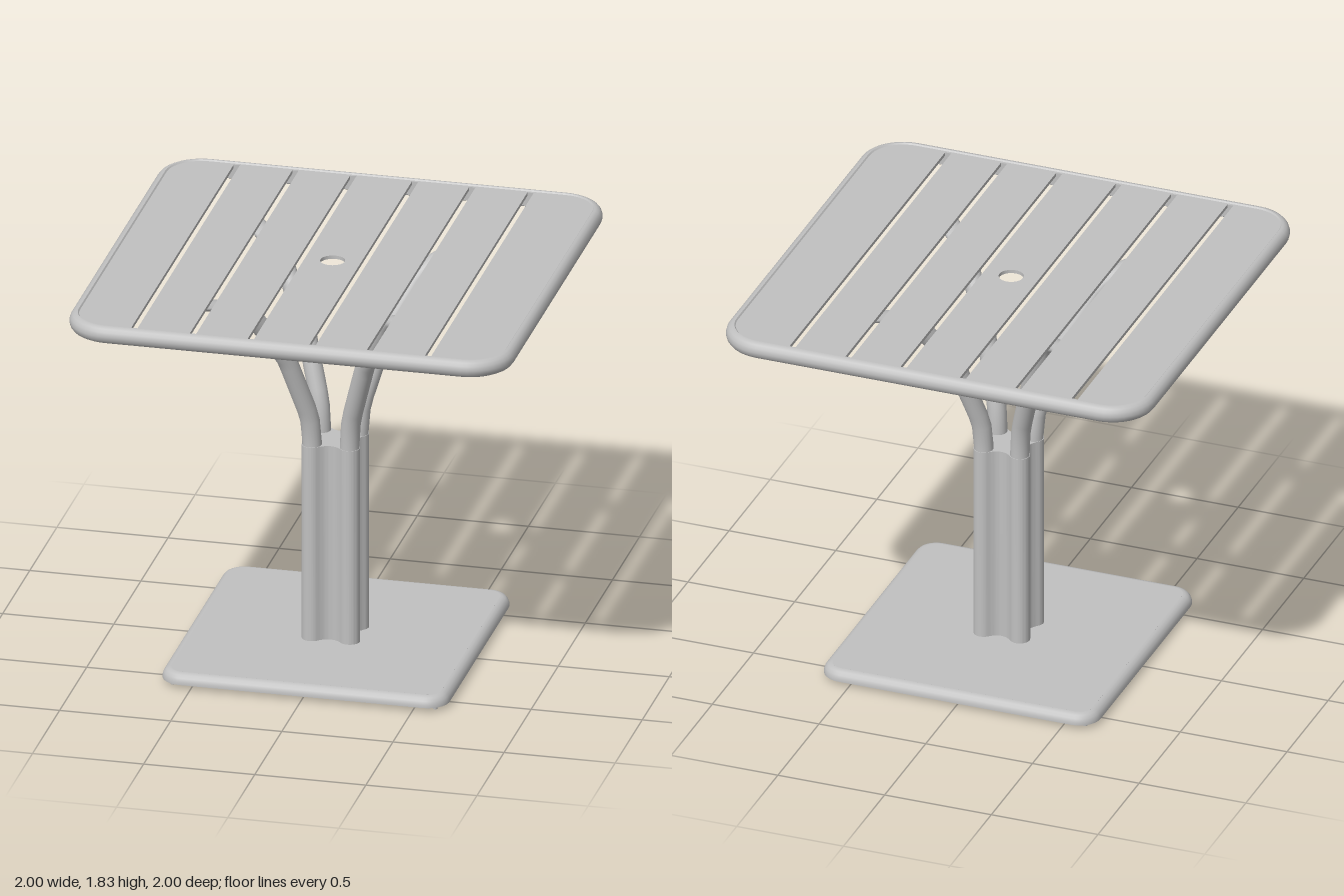
import * as THREE from 'three';
import { toCreasedNormals } from 'three/addons/utils/BufferGeometryUtils.js';

const metal = new THREE.MeshStandardMaterial({ color: 0xc0c0c0 });
metal.name = 'light grey metal';

function add(parent, name, geometry, x = 0, y = 0, z = 0) {
  const mesh = new THREE.Mesh(geometry, metal);
  mesh.name = name;
  mesh.position.set(x, y, z);
  parent.add(mesh);
  return mesh;
}

// Skin over rows of points; every row is a closed loop
function skin(rows, crease = 0.6) {
  const n = rows[0].length, pos = [], index = [];
  rows.forEach(row => row.forEach(p => pos.push(...p)));
  for (let i = 0; i < rows.length - 1; i++) {
    for (let j = 0; j < n; j++) {
      const k = (j + 1) % n;
      const a = i * n + j, b = a + n, c = (i + 1) * n + k, d = i * n + k;
      index.push(a, b, c, a, c, d);
    }
  }
  const g = new THREE.BufferGeometry();
  g.setAttribute('position', new THREE.Float32BufferAttribute(pos, 3));
  g.setIndex(index);
  return toCreasedNormals(g, crease);
}

// Outline of a rounded square, counter-clockwise
function roundedSquare(half, radius, steps = 10) {
  const pts = [], c = half - radius;
  for (let q = 0; q < 4; q++) {
    const cx = q === 0 || q === 3 ? c : -c, cy = q < 2 ? c : -c;
    for (let s = 0; s <= steps; s++) {
      const t = (q + s / steps) * Math.PI / 2;
      pts.push(new THREE.Vector2(cx + radius * Math.cos(t), cy + radius * Math.sin(t)));
    }
  }
  return pts;
}

// Edge moulding: profile of [inset, y] carried round a rounded square
function moulding(half, radius, profile) {
  return skin(profile.map(([inset, y]) =>
    roundedSquare(half - inset, radius - inset).map(p => [p.x, y, -p.y])));
}

// Horizontal slab from a shape, standing on y = 0
function slab(shape, depth) {
  const g = new THREE.ExtrudeGeometry(shape, { depth, bevelEnabled: false, curveSegments: 16 });
  g.rotateX(-Math.PI / 2);
  return toCreasedNormals(g, 0.6);
}

// Four-lobed column outline
function columnShape() {
  const c = 0.085, r = 0.045, s = new THREE.Shape();
  const h = r * Math.SQRT1_2, near = c - h, far = c + h, ctrl = far - near;
  s.moveTo(far, near);
  for (let q = 0; q < 4; q++) {
    const t = q * Math.PI / 2, turn = (x, y) => [
      x * Math.cos(t) - y * Math.sin(t), x * Math.sin(t) + y * Math.cos(t)];
    s.absarc(...turn(c, c), r, t - Math.PI / 4, t + Math.PI * 3 / 4, false);
    s.quadraticCurveTo(...turn(0, ctrl), ...turn(-near, far));
  }
  return s;
}

// Bent tube in the local x-y plane that flattens into a tab at its tip
function legGeometry() {
  // outward, height, half thickness, half width
  const path = [
    [0.12, 0.95, 0.043, 0.043], [0.12, 1.0, 0.043, 0.043], [0.13, 1.1, 0.043, 0.043],
    [0.148, 1.16, 0.043, 0.043], [0.235, 1.38, 0.043, 0.043], [0.255, 1.425, 0.043, 0.043],
    [0.415, 1.645, 0.042, 0.043], [0.445, 1.68, 0.038, 0.044], [0.49, 1.712, 0.032, 0.045],
    [0.56, 1.737, 0.024, 0.048], [0.68, 1.764, 0.02, 0.05], [0.79, 1.788, 0.016, 0.05],
    [0.82, 1.793, 0.012, 0.035],
  ];
  const rows = path.map(([u, y, a, b], i) => {
    const p = path[Math.max(i - 1, 0)], q = path[Math.min(i + 1, path.length - 1)];
    const len = Math.hypot(q[0] - p[0], q[1] - p[1]);
    const tu = (q[0] - p[0]) / len, ty = (q[1] - p[1]) / len;
    return Array.from({ length: 20 }, (_, j) => {
      const f = j / 20 * Math.PI * 2, n = a * Math.cos(f);
      return [u + n * ty, y - n * tu, b * Math.sin(f)];
    });
  });
  const tip = path[path.length - 1];
  rows.push(rows[0].map(() => [tip[0], tip[1], 0]));
  return skin(rows, 0.7);
}

export function createModel() {
  const model = new THREE.Group();
  model.name = 'patioTable';

  // Tabletop: rounded rim around a thin slotted panel
  const top = new THREE.Group();
  top.name = 'tabletop';
  model.add(top);
  add(top, 'tabletopRim', moulding(1, 0.2, [
    [0.045, 1.822], [0.038, 1.83], [0.028, 1.829], [0.015, 1.822], [0.005, 1.809], [0, 1.79],
    [0.005, 1.771], [0.015, 1.758], [0.028, 1.751], [0.038, 1.75], [0.045, 1.755], [0.045, 1.822]]));
  const panel = new THREE.Shape(roundedSquare(0.96, 0.16));
  for (const x of [-0.677, -0.413, -0.153, 0.125, 0.383, 0.645]) {
    const w = 0.014, l = 0.945;
    panel.holes.push(new THREE.Path([[-w, -l], [-w, l], [w, l], [w, -l]]
      .map(([dx, y]) => new THREE.Vector2(x + dx, y))));
  }
  panel.holes.push(new THREE.Path().absarc(-0.015, 0, 0.055, 0, Math.PI * 2, true));
  add(top, 'slottedPanel', slab(panel, 0.016), 0, 1.808, 0);

  // Pedestal column with four branching legs
  const pedestal = new THREE.Group();
  pedestal.name = 'pedestal';
  pedestal.position.z = 0.01;
  model.add(pedestal);
  add(pedestal, 'column', slab(columnShape(), 0.925), 0, 0.06, 0);
  const leg = legGeometry();

  // Base: shallow pan with a rounded edge
  const base = new THREE.Group();
  base.name = 'base';
  model.add(base);
  add(base, 'baseEdge', moulding(0.645, 0.1, [
    [0.04, 0.068], [0.03, 0.067], [0.017, 0.061], [0.006, 0.049], [0, 0.032],
    [0, 0.02], [0.015, 0.02], [0.018, 0.045], [0.04, 0.05]]));
  add(base, 'basePlate', slab(new THREE.Shape(roundedSquare(0.606, 0.061)), 0.02), 0, 0.048, 0);

  // Open socket ring under the base
  const socket = new THREE.LatheGeometry([[0.028, 0.05], [0.028, 0.012], [0.043, 0.012], [0.043, 0.05]]
    .map(([r, y]) => new THREE.Vector2(r, y)), 20);
  const socketGeometry = toCreasedNormals(socket, 0.6);

  // Everything that repeats on the four diagonals
  for (let k = 0; k < 4; k++) {
    const angle = Math.PI / 4 + k * Math.PI / 2;
    const upper = new THREE.Group();
    upper.name = 'legAssembly';
    upper.rotation.y = angle;
    pedestal.add(upper);
    add(upper, 'leg', leg);
    add(upper, 'legMount', new THREE.CylinderGeometry(0.03, 0.03, 0.04, 16), 0.74, 1.79, 0);

    const lower = new THREE.Group();
    lower.name = 'baseCorner';
    lower.rotation.y = angle;
    base.add(lower);
    add(lower, 'ballastPlate', new THREE.BoxGeometry(0.54, 0.02, 0.24), 0.49, 0.04, 0);
    add(lower, 'socket', socketGeometry, 0.12, 0, 0);
    add(lower, 'foot', new THREE.CylinderGeometry(0.014, 0.01, 0.05, 12), 0.835, 0.025, 0);
  }
  return model;
}
